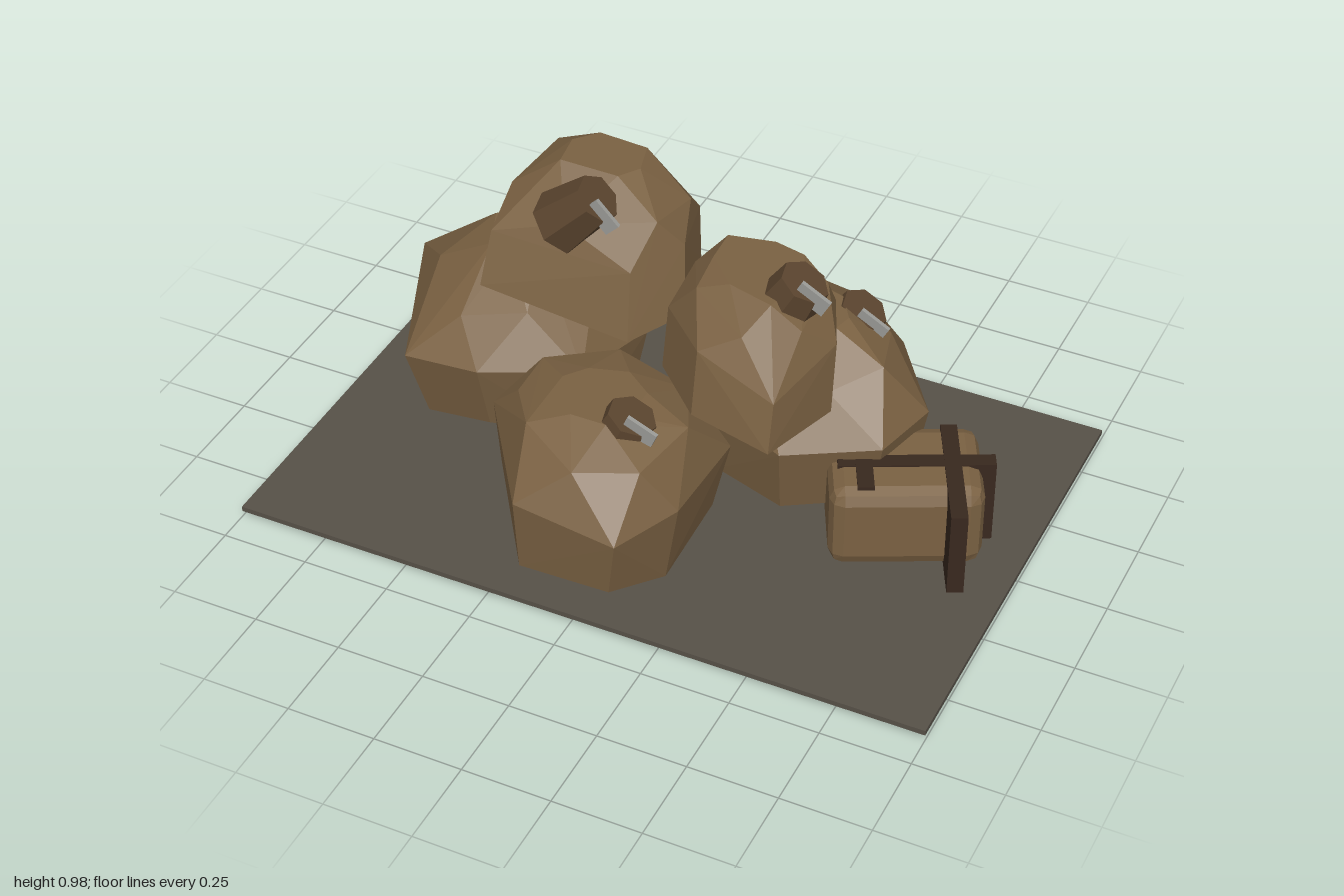
import * as THREE from 'three';
import { ConvexGeometry } from 'three/addons/geometries/ConvexGeometry.js';
import { RoundedBoxGeometry } from 'three/addons/geometries/RoundedBoxGeometry.js';

const material = (color) => new THREE.MeshStandardMaterial({ color, flatShading: true });
const cloth = material(0x7a6142);
const darkCloth = material(0x5a442e);
const leather = material(0x38281e);
const metal = material(0x9a9a96);
const earth = material(0x575148);

function addMesh(parent, name, geometry, mat, x = 0, y = 0, z = 0) {
  const mesh = new THREE.Mesh(geometry, mat);
  mesh.name = name;
  mesh.position.set(x, y, z);
  parent.add(mesh);
  return mesh;
}

// Faceted sack body: a plan outline (x, z) repeated at several [height, scale] levels,
// leaning towards its top, with a slight wave in the middle rings
function sackGeometry(outline, levels, [leanX, leanZ]) {
  const plan = outline.map(([x, z]) => new THREE.Vector2(x, z));
  const centre = plan.reduce((sum, p) => sum.add(p), new THREE.Vector2()).divideScalar(plan.length);
  const last = levels.length - 1;
  const points = [];
  levels.forEach(([y, scale], k) => {
    const t = (y - levels[0][0]) / (levels[last][0] - levels[0][0]);
    plan.forEach((p, i) => {
      // The shoulder ring sits between the corners, giving triangular facets
      const corner = k === last - 1 ? p.clone().lerp(plan[(i + 1) % plan.length], 0.5) : p.clone();
      corner.sub(centre).multiplyScalar(scale).add(centre);
      const wave = k > 0 && k < last ? 0.022 * Math.sin(i * 2.4 + k * 1.7) : 0;
      points.push(new THREE.Vector3(corner.x + leanX * t, y + wave, corner.y + leanZ * t));
    });
  });
  return new ConvexGeometry(points);
}

function createSack(name, { outline, levels, lean, neck, tilt }) {
  const sack = new THREE.Group();
  sack.name = name;
  addMesh(sack, 'sackBody', sackGeometry(outline, levels, lean), cloth);

  // Tied end with its metal clasp
  const end = new THREE.Group();
  end.name = 'tiedEnd';
  end.position.set(...neck);
  end.rotation.z = -tilt;
  addMesh(end, 'neck', new THREE.CylinderGeometry(0.068, 0.09, 0.16, 7), darkCloth, 0, -0.08, 0);
  addMesh(end, 'clasp', new THREE.BoxGeometry(0.09, 0.05, 0.012), metal, 0.04, 0.003, 0.037);
  sack.add(end);
  return sack;
}

function createBundle() {
  const bundle = new THREE.Group();
  bundle.name = 'strappedBundle';
  bundle.position.set(0.655, 0.145, -0.02);
  bundle.rotation.y = 0.455;
  addMesh(bundle, 'bundleBody', new RoundedBoxGeometry(0.41, 0.25, 0.3, 1, 0.04), cloth, 0, 0.015, 0);

  // Loose straps: two across, slipped to opposite sides, and one along
  for (const [x, z] of [[-0.11, -0.07], [0.125, 0.055]]) {
    addMesh(bundle, 'crossStrap', new THREE.BoxGeometry(0.045, 0.285, 0.385), leather, x, 0.0025, z);
  }
  addMesh(bundle, 'longStrap', new THREE.BoxGeometry(0.42, 0.288, 0.045), leather, 0.03, 0, 0.01);
  return bundle;
}

export function createModel() {
  const model = new THREE.Group();
  model.name = 'sackPile';
  addMesh(model, 'groundSlab', new THREE.BoxGeometry(2, 0.015, 1.32), earth, 0, 0.026, 0);

  // Three sacks on the ground
  model.add(createSack('lowerRightSack', {
    outline: [[-0.93, -0.28], [-0.62, -0.48], [-0.37, -0.54], [-0.18, -0.2], [-0.24, 0.08], [-0.5, 0.2], [-0.73, 0.19]],
    levels: [[0.035, 0.45], [0.11, 0.86], [0.33, 1], [0.46, 0.75], [0.58, 0.28]],
    lean: [-0.02, 0], neck: [-0.34, 0.53, -0.09], tilt: 0.6,
  }));
  model.add(createSack('frontSack', {
    outline: [[-0.43, 0.29], [-0.32, 0.43], [-0.17, 0.67], [0.12, 0.67], [0.22, 0.5], [0.23, 0.2], [0, 0.03], [-0.3, 0.12]],
    levels: [[0.035, 0.5], [0.12, 0.9], [0.33, 1], [0.47, 0.82], [0.52, 0.35]],
    lean: [0.02, -0.02], neck: [0.06, 0.53, 0.4], tilt: 0.4,
  }));
  model.add(createSack('lowerLeftSack', {
    outline: [[-0.08, -0.24], [0.02, -0.45], [0.3, -0.52], [0.46, -0.47], [0.65, -0.18], [0.6, 0.02], [0.35, 0.13], [0.1, 0.05]],
    levels: [[0.035, 0.45], [0.1, 0.88], [0.32, 1], [0.47, 0.73], [0.55, 0.28]],
    lean: [0.01, 0], neck: [0.42, 0.53, -0.28], tilt: 0.5,
  }));

  // Two sacks stacked on top
  model.add(createSack('upperRightSack', {
    outline: [[-0.5, 0.21], [-0.05, 0.22], [0.05, 0.07], [-0.02, -0.18], [-0.4, -0.21], [-0.54, -0.05]],
    levels: [[0.5, 0.1], [0.6, 0.98], [0.77, 0.92], [0.85, 0.88], [0.935, 0.38]],
    lean: [-0.02, -0.12], neck: [-0.195, 0.93, 0.075], tilt: 0.8,
  }));
  model.add(createSack('upperLeftSack', {
    outline: [[0.04, 0.04], [0.05, 0.23], [0.22, 0.41], [0.47, 0.48], [0.53, 0.21], [0.45, 0.03], [0.28, -0.01]],
    levels: [[0.49, 0.15], [0.57, 0.98], [0.72, 0.97], [0.81, 0.83], [0.865, 0.52]],
    lean: [-0.02, -0.12], neck: [0.42, 0.9, 0.14], tilt: 0.5,
  }));

  model.add(createBundle());
  return model;
}
